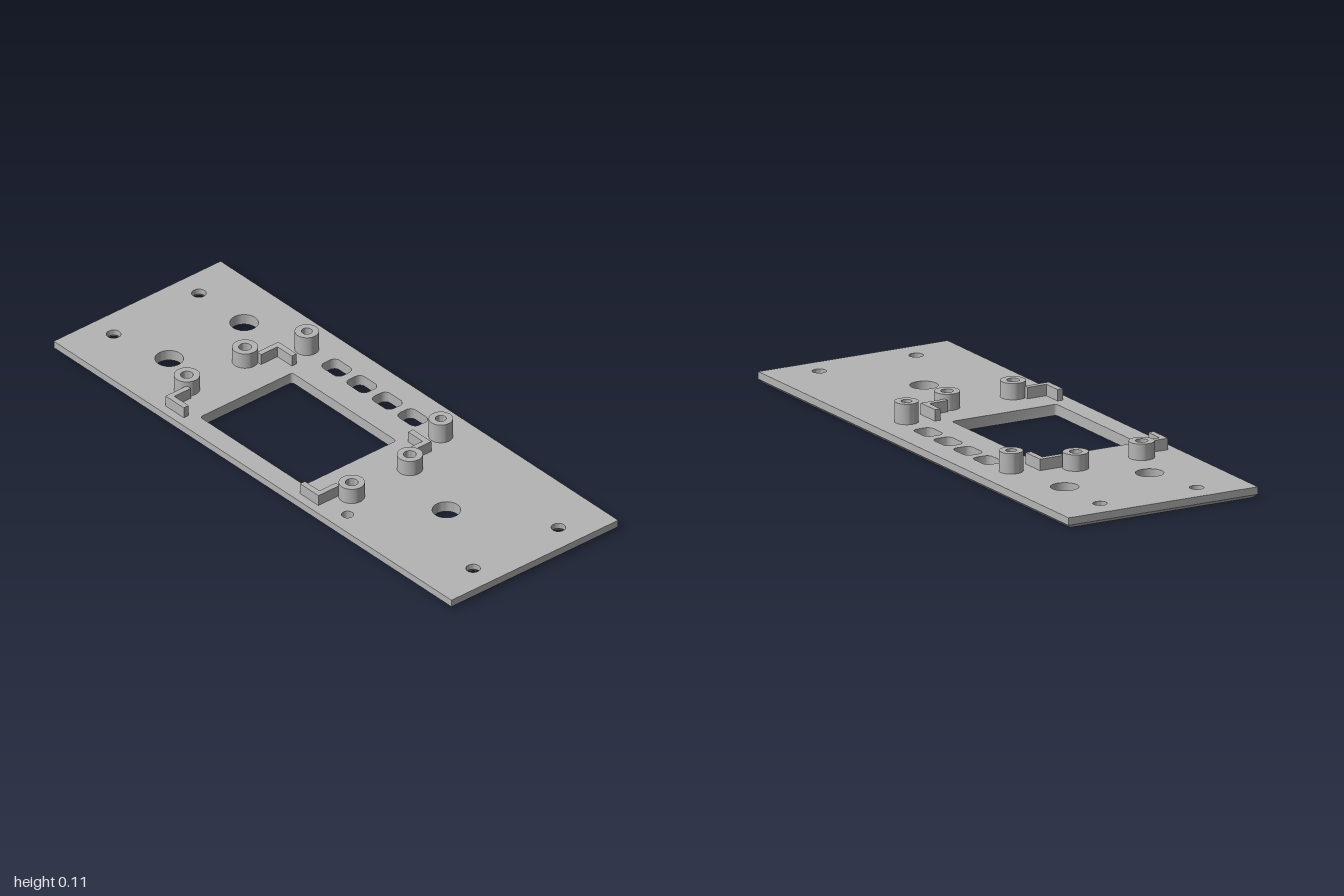
import * as THREE from 'three';
import { mergeGeometries, toCreasedNormals } from 'three/addons/utils/BufferGeometryUtils.js';

const TOP = 0.038;      // upper face of the plate
const CHAMFER = 0.0125; // bevel round the lower edge
const SINK = 0.018;     // depth of the countersinks
const MID = -0.0895;    // mirror line of the display mounts

// Closed outlines as [x, z] points, all turning the same way.
function circle(x, z, r, n = 32) {
  return Array.from({ length: n }, (_, i) => {
    const a = (i / n) * Math.PI * 2;
    return new THREE.Vector2(x + r * Math.cos(a), z + r * Math.sin(a));
  });
}

function rect(x0, x1, z0, z1, r = 0) {
  if (!r) return [[x0, z0], [x1, z0], [x1, z1], [x0, z1]].map(p => new THREE.Vector2(...p));
  const corners = [[x1 - r, z1 - r], [x0 + r, z1 - r], [x0 + r, z0 + r], [x1 - r, z0 + r]];
  return corners.flatMap(([cx, cz], k) => Array.from({ length: 7 }, (_, i) => {
    const a = (k + i / 6) * Math.PI / 2;
    return new THREE.Vector2(cx + r * Math.cos(a), cz + r * Math.sin(a));
  }));
}

// Flat face with holes at height y.
function cap(outline, holes, y, up) {
  const shape = new THREE.Shape(outline);
  shape.holes = holes.map(h => new THREE.Path(h));
  const geo = new THREE.ShapeGeometry(shape).rotateX(Math.PI / 2).translate(0, y, 0);
  if (up) geo.index.array.reverse();
  const flat = geo.toNonIndexed();
  flat.deleteAttribute('uv');
  flat.computeVertexNormals();
  return flat;
}

// Band between two matching outlines; faces inward unless outward is set.
function wall(low, y0, high, y1, outward = false) {
  const pos = [];
  const n = low.length;
  for (let i = 0; i < n; i++) {
    const j = (i + 1) % n;
    const a = [low[i].x, y0, low[i].y], b = [low[j].x, y0, low[j].y];
    const c = [high[j].x, y1, high[j].y], d = [high[i].x, y1, high[i].y];
    pos.push(...(outward ? [a, c, b, a, d, c] : [a, b, c, a, c, d]).flat());
  }
  const geo = new THREE.BufferGeometry();
  geo.setAttribute('position', new THREE.Float32BufferAttribute(pos, 3));
  return toCreasedNormals(geo, 0.5);
}

function plateGeometry() {
  const outer = rect(-1, 1, -0.36, 0.36);
  const inset = rect(-1 + CHAMFER, 1 - CHAMFER, -0.36 + CHAMFER, 0.36 - CHAMFER);

  // Straight openings: display window, four buttons, round holes
  const straight = [
    rect(-0.351, 0.173, -0.112, 0.286, 0.012),
    ...[-0.279, -0.152, -0.024, 0.104].map(x => rect(x - 0.048, x + 0.048, -0.277, -0.207, 0.022)),
    circle(-0.677, -0.184, 0.047),
    circle(-0.677, 0.139, 0.047),
    circle(0.587, 0.027, 0.047),
    circle(0.397, 0.291, 0.02)
  ];

  // Corner screw holes, countersunk from below
  const corners = [-0.904, 0.904].flatMap(x => [-0.184, 0.184].map(z => [x, z]));
  const screws = corners.map(([x, z]) => circle(x, z, 0.024));
  const sinks = corners.map(([x, z]) => circle(x, z, 0.042));

  return mergeGeometries([
    cap(outer, [...straight, ...screws], TOP, true),
    cap(inset, [...straight, ...sinks], 0, false),
    wall(inset, 0, outer, CHAMFER, true),
    wall(outer, CHAMFER, outer, TOP, true),
    ...straight.map(h => wall(h, 0, h, TOP)),
    ...screws.map((h, i) => wall(sinks[i], 0, h, SINK)),
    ...screws.map(h => wall(h, SINK, h, TOP))
  ]);
}

// Hollow screw post with a blind bore
function postGeometry(r, bore, top) {
  const profile = [[r, TOP], [r, top], [bore, top], [bore, TOP + 0.002], [0, TOP + 0.002]];
  const geo = new THREE.LatheGeometry(profile.map(p => new THREE.Vector2(...p)), 32);
  return toCreasedNormals(geo, 0.5);
}

// L-shaped locating bracket: a leg from the post and a foot toward the middle
function bracketGeometry(side, zPost, zFoot) {
  const t = 0.021 * Math.sign(zFoot - zPost);
  const out = 0.3845, leg = out - 0.02, foot = out - 0.092;
  const pts = [[out, zPost], [out, zFoot], [foot, zFoot], [foot, zFoot - t], [leg, zFoot - t], [leg, zPost]];
  const shape = new THREE.Shape(pts.map(([x, z]) => new THREE.Vector2(MID + side * x, z)));
  return new THREE.ExtrudeGeometry(shape, { depth: 0.077 - TOP, bevelEnabled: false })
    .rotateX(Math.PI / 2).translate(0, 0.077, 0);
}

export function createModel() {
  const model = new THREE.Group();
  model.name = 'frontPanel';
  const grey = new THREE.MeshStandardMaterial({ color: 0xb4b4b4 });
  grey.name = 'panelGrey';

  const add = (name, geo, x = 0, z = 0) => {
    const mesh = new THREE.Mesh(geo, grey);
    mesh.name = name;
    mesh.position.set(x, 0, z);
    model.add(mesh);
  };

  add('plate', plateGeometry());

  const displayPost = postGeometry(0.043, 0.021, 0.094);
  const buttonPost = postGeometry(0.04, 0.018, 0.108);
  for (const side of [-1, 1]) {
    const label = side < 0 ? 'Right' : 'Left';
    add('buttonPost' + label, buttonPost, MID + side * 0.337, -0.24);
    add('displayPostBack' + label, displayPost, MID + side * 0.4145, -0.04);
    add('displayPostFront' + label, displayPost, MID + side * 0.4145, 0.211);
    add('bracketBack' + label, bracketGeometry(side, -0.066, -0.158));
    add('bracketFront' + label, bracketGeometry(side, 0.237, 0.329));
  }
  return model;
}
